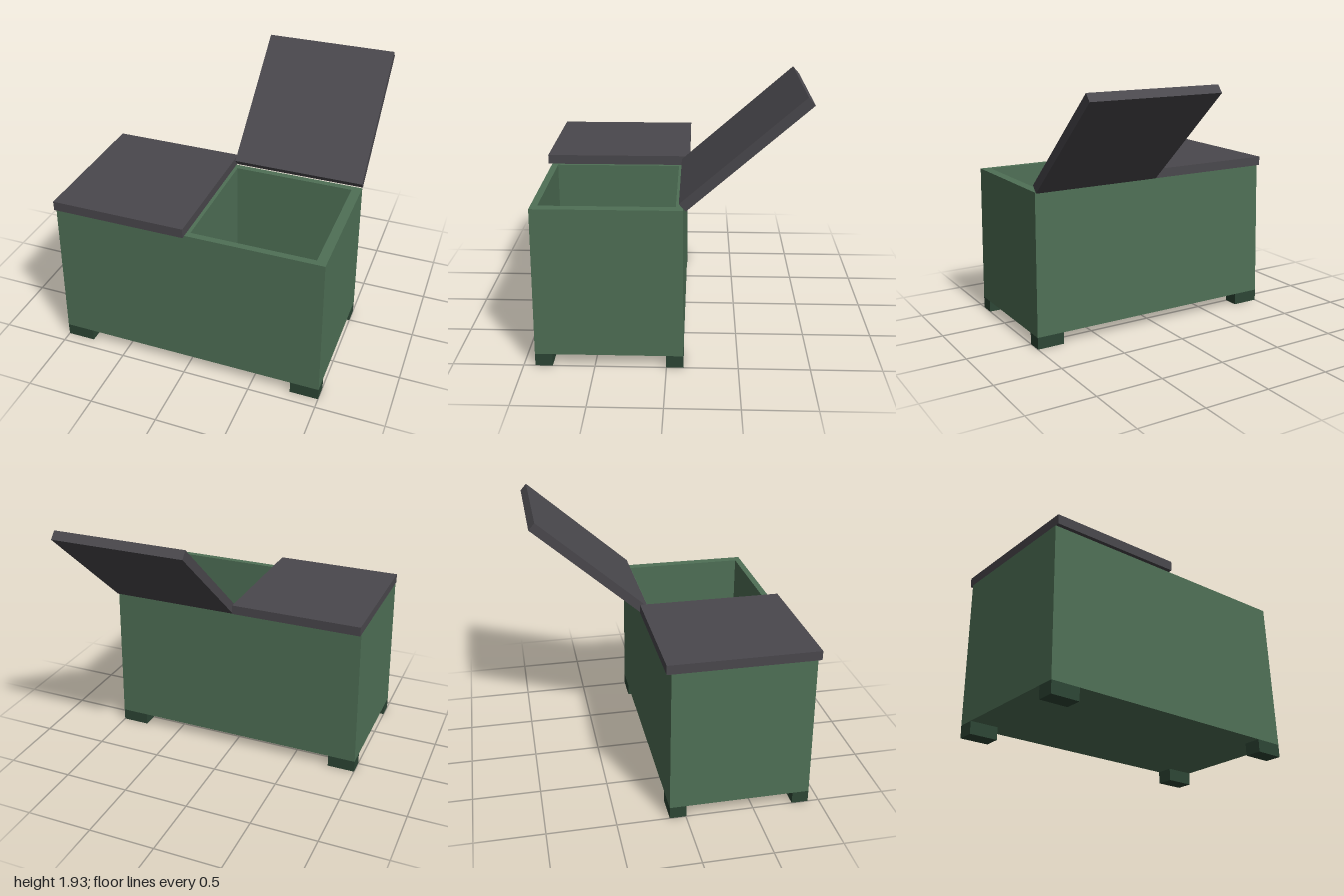
import * as THREE from 'three';

const BASE = 0.09, RIM = 1.163, MID_Z = 0.4; // body bottom, body top, body centre in z

function rectangle(Type, x0, x1, y0, y1) {
  const r = new Type();
  r.moveTo(x0, y0);
  r.lineTo(x1, y0);
  r.lineTo(x1, y1);
  r.lineTo(x0, y1);
  r.closePath();
  return r;
}

export function createModel() {
  const model = new THREE.Group();
  model.name = 'storageBin';

  const green = new THREE.MeshStandardMaterial({ name: 'green', color: 0x4f7056 });
  const darkGreen = new THREE.MeshStandardMaterial({ name: 'darkGreen', color: 0x2d4635 });
  const grey = new THREE.MeshStandardMaterial({ name: 'charcoal', color: 0x4a484d });

  function add(name, geometry, material, x, y, z) {
    const mesh = new THREE.Mesh(geometry, material);
    mesh.name = name;
    mesh.position.set(x, y, z);
    model.add(mesh);
    return mesh;
  }

  // Walls with two compartments, the outside narrowing slightly to the top
  const outline = rectangle(THREE.Shape, -1, 1, -0.518, 0.518);
  for (const [x0, x1] of [[-0.914, -0.026], [0.026, 0.914]]) {
    outline.holes.push(rectangle(THREE.Path, x0, x1, -0.461, 0.461));
  }
  const walls = new THREE.ExtrudeGeometry(outline, { depth: RIM - BASE, bevelEnabled: false });
  walls.rotateX(-Math.PI / 2);
  const p = walls.attributes.position;
  for (let i = 0; i < p.count; i++) {
    if (p.getY(i) > 0.5 && Math.abs(p.getX(i)) > 0.95) {
      p.setX(i, p.getX(i) * 0.984);
      p.setZ(i, p.getZ(i) * 0.983);
    }
  }
  walls.computeVertexNormals();
  add('body', walls, green, 0, BASE, MID_Z);

  // Compartment floors and corner feet
  for (const s of [-1, 1]) {
    add('floor', new THREE.BoxGeometry(0.888, 0.06, 0.922), green, s * 0.47, BASE + 0.03, MID_Z);
    for (const t of [-1, 1]) {
      add('foot', new THREE.BoxGeometry(0.21, BASE, 0.122), darkGreen,
        s * 0.895, BASE / 2, MID_Z + t * 0.457);
    }
  }

  // One lid closed, the other swung open over the back
  const lid = new THREE.BoxGeometry(0.984, 0.069, 1.08);
  add('closedLid', lid, grey, -0.492, RIM + 0.0345, 0.398);
  add('openLid', lid, grey, 0.492, 1.543, -0.509).rotation.x = 0.726;

  return model;
}
